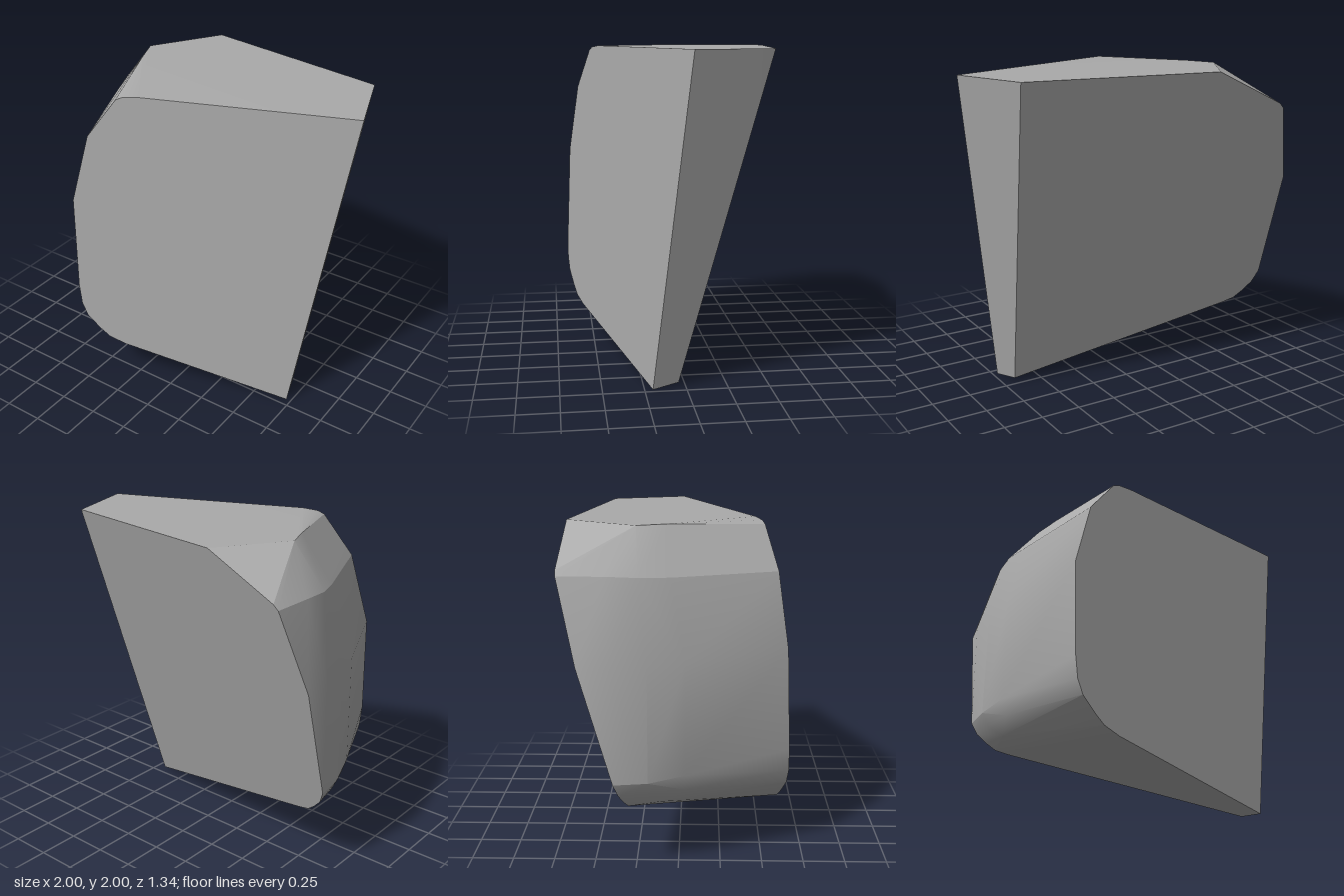
import * as THREE from 'three';
import { ConvexGeometry } from 'three/addons/geometries/ConvexGeometry.js';
import { toCreasedNormals } from 'three/addons/utils/BufferGeometryUtils.js';

export function createModel() {
  const group = new THREE.Group();
  const stone = new THREE.MeshStandardMaterial({ color: 0xaaaaaa });
  stone.name = 'stone grey';

  // The two big flat faces, as planes giving z from x and y
  const frontZ = (x, y) => 0.469 - 0.373 * x - 0.048 * y;
  const backZ = (x, y) => -0.0565 + 0.153 * x - 0.275 * y;

  // Outline of the front face
  const front = [
    [1, 2], [0.72, 0], [-0.31, 0.245], [-0.41, 0.285], [-0.47, 0.34], [-0.55, 0.43],
    [-0.585, 0.52], [-0.6, 0.66], [-0.612, 1.28], [-0.51, 1.72], [-0.34, 1.97],
    [-0.3, 1.99], [-0.21, 2],
  ].map(([x, y]) => new THREE.Vector3(x, y, frontZ(x, y)));

  // Outline of the back face
  const back = [
    [0.83, 2], [0.67, 0.02], [-0.76, 0.365], [-0.84, 0.39], [-0.9, 0.44], [-0.955, 0.5],
    [-0.99, 0.58], [-1, 1.27], [-0.87, 1.75], [-0.84, 1.78], [-0.38, 2],
  ].map(([x, y]) => new THREE.Vector3(x, y, backZ(x, y)));

  // Rounded side between them, and the corner of the top
  const side = [
    [-0.65, 2, -0.24], [-0.575, 2, -0.06],
    [-0.87, 1.75, -0.41], [-0.85, 1.74, -0.22], [-0.78, 1.73, -0.04],
    [-1, 1.27, -0.38], [-0.96, 1.27, -0.17], [-0.885, 1.27, 0.04],
    [-0.96, 0.58, -0.17], [-0.885, 0.6, 0.04],
    [-0.92, 0.5, -0.17], [-0.85, 0.5, 0.04], [-0.84, 0.42, -0.1],
  ].map((p) => new THREE.Vector3(...p));

  const geometry = new ConvexGeometry([...front, ...back, ...side]);
  const chunk = new THREE.Mesh(toCreasedNormals(geometry, 0.35), stone);
  chunk.name = 'stoneChunk';
  group.add(chunk);
  return group;
}
